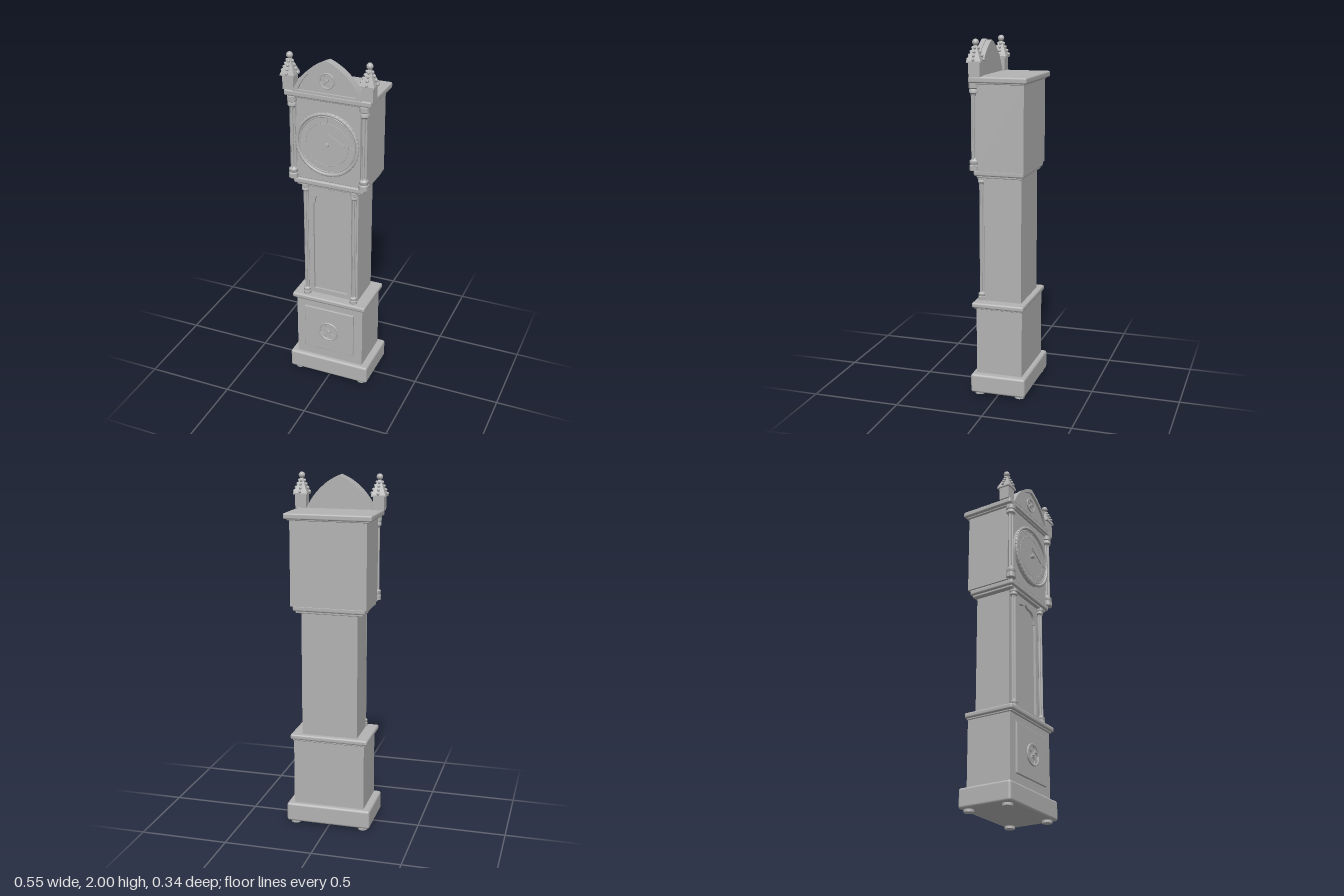
import * as THREE from 'three';
import { RoundedBoxGeometry } from 'three/addons/geometries/RoundedBoxGeometry.js';
import { toCreasedNormals } from 'three/addons/utils/BufferGeometryUtils.js';

export function createModel() {
  const model = new THREE.Group();
  const grey = new THREE.MeshStandardMaterial({ color: 0xb3b3b3 });
  grey.name = 'plain grey';

  function add(name, geometry, x = 0, y = 0, z = 0, parent = model) {
    const mesh = new THREE.Mesh(geometry, grey);
    mesh.name = name;
    mesh.position.set(x, y, z);
    parent.add(mesh);
    return mesh;
  }
  // Box from its half width, height range and depth range, with optional soft edges
  function block(name, hw, y0, y1, z0, z1, r = 0) {
    const w = hw * 2, h = y1 - y0, d = z1 - z0;
    const g = r ? new RoundedBoxGeometry(w, h, d, 3, r) : new THREE.BoxGeometry(w, h, d);
    return add(name, g, 0, (y0 + y1) / 2, (z0 + z1) / 2);
  }
  function extrude(shape, depth) {
    const g = new THREE.ExtrudeGeometry(shape, { depth, bevelEnabled: false, curveSegments: 20 });
    return toCreasedNormals(g, 0.6);
  }
  function lathe(points, segments = 20) {
    return toCreasedNormals(new THREE.LatheGeometry(points.map(p => new THREE.Vector2(...p)), segments), 0.7);
  }
  function group(name, x, y, z) {
    const g = new THREE.Group();
    g.name = name;
    g.position.set(x, y, z);
    model.add(g);
    return g;
  }

  // Plinth and feet
  block('plinth', 0.245, 0.015, 0.125, -0.165, 0.153, 0.014);
  for (const x of [-0.2, 0.2]) for (const z of [-0.125, 0.11])
    add('foot', new THREE.CylinderGeometry(0.028, 0.028, 0.02, 20), x, 0.01, z);

  // Lower case with its panel and cap moulding
  block('lowerCase', 0.205, 0.12, 0.515, -0.138, 0.127);
  block('lowerPanel', 0.153, 0.183, 0.463, 0.12, 0.138, 0.003);
  block('lowerMouldingUnder', 0.212, 0.505, 0.52, -0.143, 0.138, 0.004);
  block('lowerMoulding', 0.225, 0.513, 0.543, -0.15, 0.15, 0.01);

  // Trunk
  block('trunk', 0.16, 0.54, 1.26, -0.12, 0.093);
  block('waistMouldingUnder', 0.19, 1.25, 1.27, -0.133, 0.127, 0.005);
  block('waistMoulding', 0.205, 1.262, 1.295, -0.143, 0.14, 0.01);

  // Trunk door frame with a stepped, pointed opening
  const door = new THREE.Shape();
  door.moveTo(-0.125, 0.56);
  door.lineTo(0.125, 0.56);
  door.lineTo(0.125, 1.25);
  door.lineTo(-0.125, 1.25);
  const opening = new THREE.Path();
  opening.moveTo(-0.103, 0.582);
  opening.lineTo(-0.103, 1.137);
  opening.lineTo(-0.095, 1.137);
  opening.quadraticCurveTo(-0.09, 1.205, -0.045, 1.205);
  opening.quadraticCurveTo(-0.006, 1.205, 0, 1.238);
  opening.quadraticCurveTo(0.006, 1.205, 0.045, 1.205);
  opening.quadraticCurveTo(0.09, 1.205, 0.095, 1.137);
  opening.lineTo(0.103, 1.137);
  opening.lineTo(0.103, 0.582);
  door.holes.push(opening);
  add('trunkDoorFrame', extrude(door, 0.016), 0, 0, 0.091);

  // Hood and cornice
  block('hood', 0.215, 1.29, 1.775, -0.148, 0.118);
  block('hoodDoor', 0.182, 1.297, 1.768, 0.11, 0.132, 0.004);
  block('corniceUnder', 0.228, 1.762, 1.78, -0.155, 0.143, 0.005);
  block('cornice', 0.245, 1.77, 1.803, -0.17, 0.153, 0.009);

  // Clustered columns with turned capitals and bases
  function column(name, x, z, y0, y1, r, capH) {
    const col = group(name, x, y0, z);
    const h = y1 - y0;
    const profile = [[0, 0], [1, 0], [1, 0.38], [0.82, 0.44], [0.95, 0.54], [0.95, 0.74], [0.62, 0.86], [0.55, 1], [0, 1]];
    const cap = lathe(profile.map(([a, b]) => [a * r, b * capH]));
    add('columnBase', cap, 0, 0, 0, col);
    add('columnCapital', cap, 0, h, 0, col).rotation.x = Math.PI;
    for (let i = 0; i < 4; i++) {
      const a = i * Math.PI / 2;
      add('shaft', new THREE.CylinderGeometry(r * 0.27, r * 0.27, h - capH, 10),
        Math.cos(a) * r * 0.36, h / 2, Math.sin(a) * r * 0.36, col);
    }
  }
  for (const s of [-1, 1]) {
    column('trunkColumn', s * 0.144, 0.113, 0.543, 1.257, 0.022, 0.05);
    column('hoodColumn', s * 0.205, 0.133, 1.295, 1.768, 0.027, 0.07);
  }

  // Clock dial with beaded bezel
  const dial = group('dial', 0, 1.525, 0.125);
  add('dialPlate', new THREE.CylinderGeometry(0.175, 0.178, 0.022, 64), 0, 0, 0.011, dial).rotation.x = Math.PI / 2;
  add('bezel', new THREE.TorusGeometry(0.173, 0.009, 10, 72), 0, 0, 0.024, dial);
  add('bezelInner', new THREE.TorusGeometry(0.159, 0.003, 8, 64), 0, 0, 0.023, dial);
  add('minuteRing', new THREE.TorusGeometry(0.122, 0.0015, 6, 64), 0, 0, 0.022, dial);
  for (let i = 0; i < 48; i++) {
    const a = i / 48 * Math.PI * 2;
    add('bezelBead', new THREE.SphereGeometry(0.006, 8, 6), Math.cos(a) * 0.178, Math.sin(a) * 0.178, 0.026, dial);
  }
  for (let i = 0; i < 12; i++) {
    const a = i / 12 * Math.PI * 2;
    add('hourMark', new THREE.BoxGeometry(i % 3 ? 0.014 : 0.024, 0.004, 0.004),
      Math.cos(a) * 0.141, Math.sin(a) * 0.141, 0.023, dial).rotation.z = a;
  }
  add('dialHub', new THREE.CylinderGeometry(0.012, 0.012, 0.022, 20), 0, 0, 0.032, dial).rotation.x = Math.PI / 2;
  function hand(name, x0, y0, x1, y1) {
    const length = Math.hypot(x1 - x0, y1 - y0);
    add(name, new THREE.BoxGeometry(length, 0.007, 0.005), (x0 + x1) / 2, (y0 + y1) / 2, 0.026, dial)
      .rotation.z = Math.atan2(y1 - y0, x1 - x0);
  }
  hand('hourHand', 0.004, 0.04, -0.066, 0.004);
  hand('minuteHand', 0, 0.064, 0.102, 0.006);

  // Four-lobed rosette: a pierced disc inside a raised ring
  function rosette(name, y, z, r) {
    const g = group(name, 0, y, z);
    const disc = new THREE.Shape().absarc(0, 0, r * 0.95, 0, Math.PI * 2);
    for (let i = 0; i < 4; i++) {
      const a = i * Math.PI / 2;
      const hole = new THREE.Path().absarc(Math.cos(a) * r * 0.5, Math.sin(a) * r * 0.5, r * 0.31, 0, Math.PI * 2, true);
      disc.holes.push(hole);
    }
    add('tracery', extrude(disc, 0.007), 0, 0, 0, g);
    add('rosetteRing', new THREE.TorusGeometry(r * 0.91, r * 0.09, 8, 40), 0, 0, 0.006, g);
    add('rosetteBoss', new THREE.SphereGeometry(r * 0.13, 12, 8), 0, 0, 0.006, g);
  }
  rosette('lowerRosette', 0.32, 0.137, 0.062);
  rosette('pedimentRosette', 1.88, 0.139, 0.044);

  // Pointed pediment: a back panel framed by a raised arch
  function arch(path, hw, y0, top, inset) {
    path.moveTo(-hw, y0);
    path.lineTo(hw, y0);
    path.quadraticCurveTo(0.13 - inset, 1.94 - inset, 0, top);
    path.quadraticCurveTo(-0.13 + inset, 1.94 - inset, -hw, y0);
    return path;
  }
  add('pedimentPanel', extrude(arch(new THREE.Shape(), 0.193, 1.8, 1.985, 0.003), 0.043), 0, 0, 0.097);
  const frame = arch(new THREE.Shape(), 0.197, 1.8, 1.99, 0);
  frame.holes.push(arch(new THREE.Path(), 0.165, 1.812, 1.966, 0.012));
  add('pedimentFrame', extrude(frame, 0.026), 0, 0, 0.127);

  // Pinnacles with crockets up the middle of each face
  for (const s of [-1, 1]) {
    const p = group('pinnacle', s * 0.222, 1.8, 0.115);
    add('pinnacleBlock', new THREE.BoxGeometry(0.062, 0.08, 0.062), 0, 0.04, 0, p);
    add('pinnacleEave', new THREE.BoxGeometry(0.08, 0.008, 0.08), 0, 0.08, 0, p);
    const spire = new THREE.CylinderGeometry(0.006 * Math.SQRT2, 0.04 * Math.SQRT2, 0.085, 4, 1).toNonIndexed();
    spire.computeVertexNormals();
    add('spire', spire, 0, 0.1265, 0, p).rotation.y = Math.PI / 4;
    add('spireNeck', new THREE.CylinderGeometry(0.007, 0.009, 0.02, 12), 0, 0.166, 0, p);
    add('spireBall', new THREE.SphereGeometry(0.018, 20, 14), 0, 0.182, 0, p);
    for (let side = 0; side < 4; side++) {
      const a = side * Math.PI / 2;
      for (let i = 0; i < 4; i++) {
        const r = 0.044 - i * 0.0095;
        add('crocket', new THREE.SphereGeometry(0.0085, 10, 8),
          Math.cos(a) * r, 0.093 + i * 0.02, Math.sin(a) * r, p);
      }
    }
  }
  return model;
}
